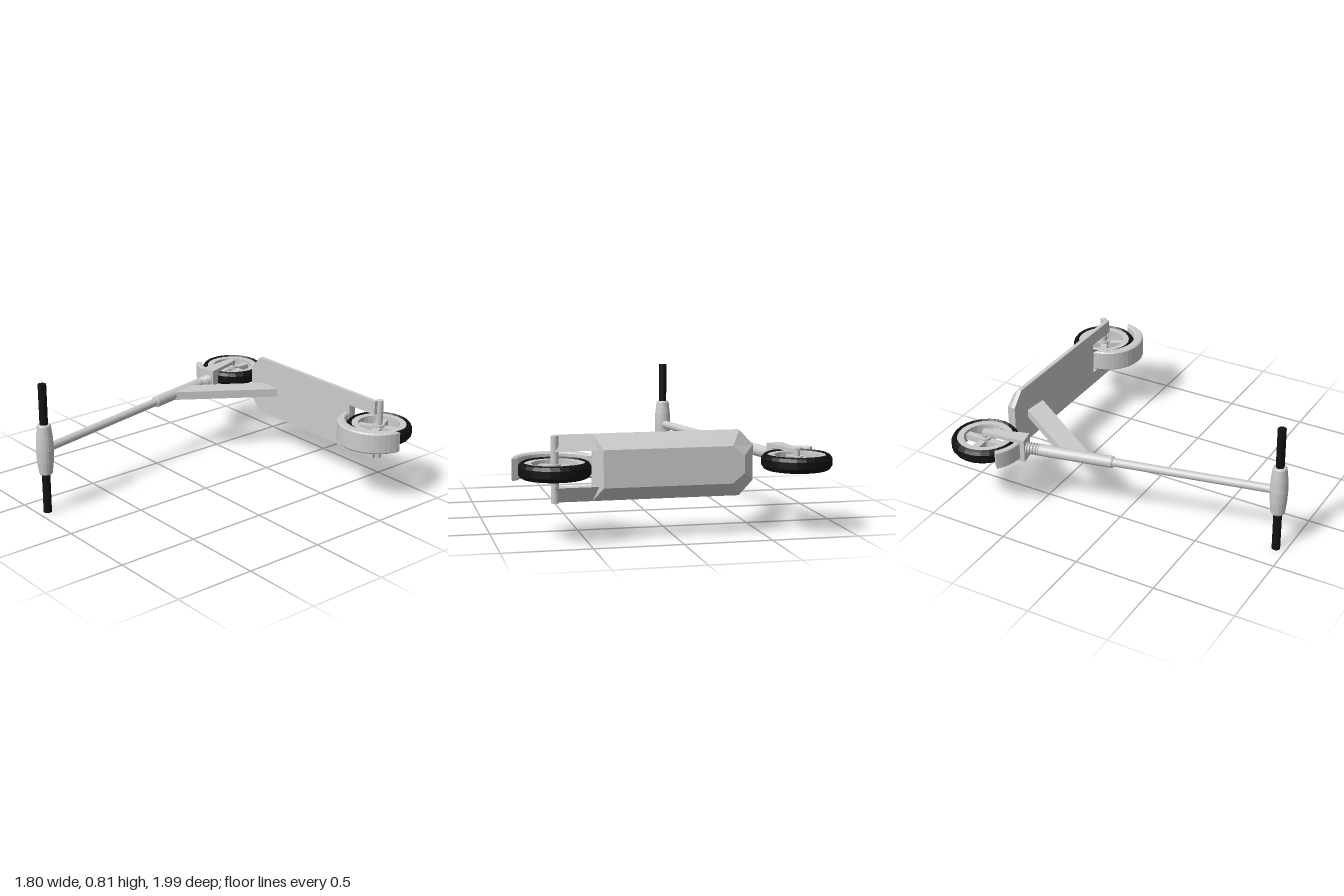
import * as THREE from 'three';

const MID = 0.403; // height of the symmetry plane: the scooter lies on its side
const grey = new THREE.MeshStandardMaterial({ color: 0xcccccc, flatShading: true });
const smooth = new THREE.MeshStandardMaterial({ color: 0xcccccc });
const black = new THREE.MeshStandardMaterial({ color: 0x111111, flatShading: true });

function add(parent, name, geometry, material = grey) {
  const mesh = new THREE.Mesh(geometry, material);
  mesh.name = name;
  parent.add(mesh);
  return mesh;
}

// Outline of [x, z] points, extruded along y between y0 and y1, with optional bevel
function prism(points, y0, y1, bevel = 0) {
  const shape = new THREE.Shape(points.map(([x, z]) => new THREE.Vector2(x, -z)));
  const geo = new THREE.ExtrudeGeometry(shape, {
    depth: y1 - y0 - 2 * bevel, bevelEnabled: bevel > 0, bevelSegments: 1,
    bevelSize: bevel, bevelThickness: bevel, bevelOffset: -bevel,
  });
  return geo.rotateX(-Math.PI / 2).translate(0, y0 + bevel, 0);
}

// Points on an arc in the x/z plane; angle 0 is +x, 90 degrees is +z
function arc(cz, r, a0, a1, n) {
  return Array.from({ length: n + 1 }, (_, i) => {
    const a = THREE.MathUtils.degToRad(a0 + (a1 - a0) * i / n);
    return [r * Math.cos(a), cz + r * Math.sin(a)];
  });
}

// Turned ring around y from [radius, y] points
function lathe(points, segments) {
  return new THREE.LatheGeometry(points.map(p => new THREE.Vector2(...p)), segments);
}

// Convex outlines [x, y] stacked along z, from front to back, capped at both ends
function loft(rings) {
  const n = rings[0].points.length;
  const pos = rings.flatMap(({ z, points }) => points.flatMap(([x, y]) => [x, y, z]));
  const index = [];
  const last = (rings.length - 1) * n;
  for (let i = 1; i < n - 1; i++) index.push(0, i, i + 1, last, last + i + 1, last + i);
  for (let k = 0; k < rings.length - 1; k++) {
    for (let i = 0; i < n; i++) {
      const ua = k * n + i, ub = k * n + (i + 1) % n;
      index.push(ua + n, ub + n, ub, ua + n, ub, ua);
    }
  }
  const geo = new THREE.BufferGeometry();
  geo.setAttribute('position', new THREE.Float32BufferAttribute(pos, 3));
  geo.setIndex(index);
  const flat = geo.toNonIndexed();
  flat.computeVertexNormals();
  return flat;
}

function wheel(name, spin) {
  const group = new THREE.Group();
  group.name = name;
  // tyre with chamfered shoulders
  add(group, 'tyre', lathe([[0.165, -0.035], [0.175, -0.045], [0.188, -0.038], [0.2, -0.02],
    [0.2, 0.02], [0.188, 0.038], [0.175, 0.045], [0.165, 0.035], [0.165, -0.035]], 24), black);
  // rim
  add(group, 'rim', lathe([[0.127, -0.036], [0.168, -0.036], [0.168, 0.036],
    [0.127, 0.036], [0.127, -0.036]], 24));
  // crossed spokes and hub
  for (let i = 0; i < 2; i++) {
    const spokes = add(group, 'spokes', new THREE.BoxGeometry(0.27, 0.035, 0.042));
    spokes.rotation.y = spin + i * Math.PI / 2;
  }
  add(group, 'hub', new THREE.CylinderGeometry(0.035, 0.035, 0.06, 16));
  return group;
}

// Deck outline: rear x, front x, chamfer length, half width, half width of the nose
function deckOutline(rear, front, cut, half, nose) {
  return [[rear, -half], [rear, half], [front + cut, half], [front, nose],
    [front, -nose], [front + cut, -half]];
}

function buildDeck() {
  const deck = new THREE.Group();
  deck.name = 'deck';
  // footboard with sloping underside
  const top = deckOutline(0.464, -0.447, 0.08, 0.185, 0.1);
  add(deck, 'footboard', loft([
    { z: -0.757, points: top },
    { z: -0.783, points: top },
    { z: -0.855, points: deckOutline(0.415, -0.38, 0.068, 0.105, 0.05) },
  ]));
  // arms either side of the rear wheel
  for (const s of [1, -1]) {
    const section = [[0.185, -0.757], [0.185, -0.783], [0.1, -0.826], [0.1, -0.757]];
    const shape = new THREE.Shape(section.map(([y, z]) => new THREE.Vector2(s * y, z)));
    const geo = new THREE.ExtrudeGeometry(shape, { depth: 0.26, bevelEnabled: false });
    // shape x -> y, shape y -> z, depth -> x
    geo.applyMatrix4(new THREE.Matrix4().set(0, 0, 1, 0.415, 1, 0, 0, 0, 0, 1, 0, 0, 0, 0, 0, 1));
    add(deck, 'rearArm', geo);
  }
  return deck;
}

function buildRear() {
  const rear = new THREE.Group();
  rear.name = 'rearWheelAssembly';
  rear.position.set(0.675, 0, -0.8);
  rear.add(wheel('rearWheel', 0.48));
  add(rear, 'rearAxle', new THREE.CylinderGeometry(0.022, 0.022, 0.37, 16), smooth);
  // crescent mudguard
  const outline = [...arc(0.035, 0.228, 5, 175, 20), ...arc(0, 0.203, 160, 20, 20)];
  add(rear, 'rearMudguard', prism(outline, -0.065, 0.065, 0.008));
  return rear;
}

function buildSteering() {
  // local z runs along the steering column, from the front hub to the handlebar
  const steer = new THREE.Group();
  steer.name = 'steering';
  steer.position.set(-0.7, 0, -0.8);
  steer.rotation.y = Math.atan2(0.205, 0.979);
  steer.add(wheel('frontWheel', -steer.rotation.y));
  add(steer, 'frontAxle', new THREE.CylinderGeometry(0.018, 0.018, 0.13, 16), smooth);

  // fork legs, widening towards the crown
  for (const y of [0.05, -0.072]) {
    const leg = [[-0.022, 0], [-0.014, -0.012], [0.014, -0.012], [0.022, 0], [0.047, 0.262], [-0.047, 0.262]];
    add(steer, 'forkLeg', prism(leg, y, y + 0.022));
  }
  add(steer, 'forkCrown', prism([[-0.043, 0.208], [0.043, 0.208], [0.047, 0.264], [-0.047, 0.264]], -0.072, 0.072));

  // short front mudguard on the leading side
  const guard = [...arc(0, 0.24, 92, 142, 8), ...arc(0, 0.204, 142, 92, 8)];
  add(steer, 'frontMudguard', prism(guard, -0.055, 0.055, 0.006));

  // column: ribbed neck, sleeve and inner tube
  const neck = [[0, 0.255]];
  for (let i = 0; i < 5; i++) {
    const z = 0.258 + i * 0.018;
    neck.push([0.029, z], [0.036, z + 0.005], [0.036, z + 0.011], [0.029, z + 0.016]);
  }
  neck.push([0, 0.35]);
  add(steer, 'neck', lathe(neck, 20).rotateX(Math.PI / 2));
  add(steer, 'sleeve', lathe([[0, 0.34], [0.031, 0.34], [0.035, 0.348], [0.035, 0.79],
    [0.031, 0.798], [0, 0.798]], 24).rotateX(Math.PI / 2));
  add(steer, 'columnTube', lathe([[0.025, 0.78], [0.025, 1.76]], 24).rotateX(Math.PI / 2), smooth);

  // handlebar with a barrel in the middle and a grip at each end
  const bar = new THREE.Group();
  bar.name = 'handlebar';
  bar.position.z = 1.777;
  steer.add(bar);
  add(bar, 'barrel', lathe([[0, -0.156], [0.036, -0.156], [0.041, -0.148], [0.05, -0.07], [0.053, 0],
    [0.05, 0.07], [0.041, 0.148], [0.036, 0.156], [0, 0.156]], 20));
  for (const s of [1, -1]) {
    const grip = add(bar, 'grip', new THREE.CylinderGeometry(0.025, 0.025, 0.255, 20), black);
    grip.position.y = s * 0.2755;
  }
  return steer;
}

export function createModel() {
  const model = new THREE.Group();
  model.name = 'kickScooter';
  const body = new THREE.Group();
  body.name = 'body';
  body.position.y = MID;
  model.add(body);
  body.add(buildDeck(), buildRear(), buildSteering());
  // strut joining the column sleeve to the deck
  add(body, 'strut', prism([[-0.32, -0.75], [-0.175, -0.735], [-0.545, -0.185], [-0.59, -0.34]], -0.026, 0.026));
  return model;
}
